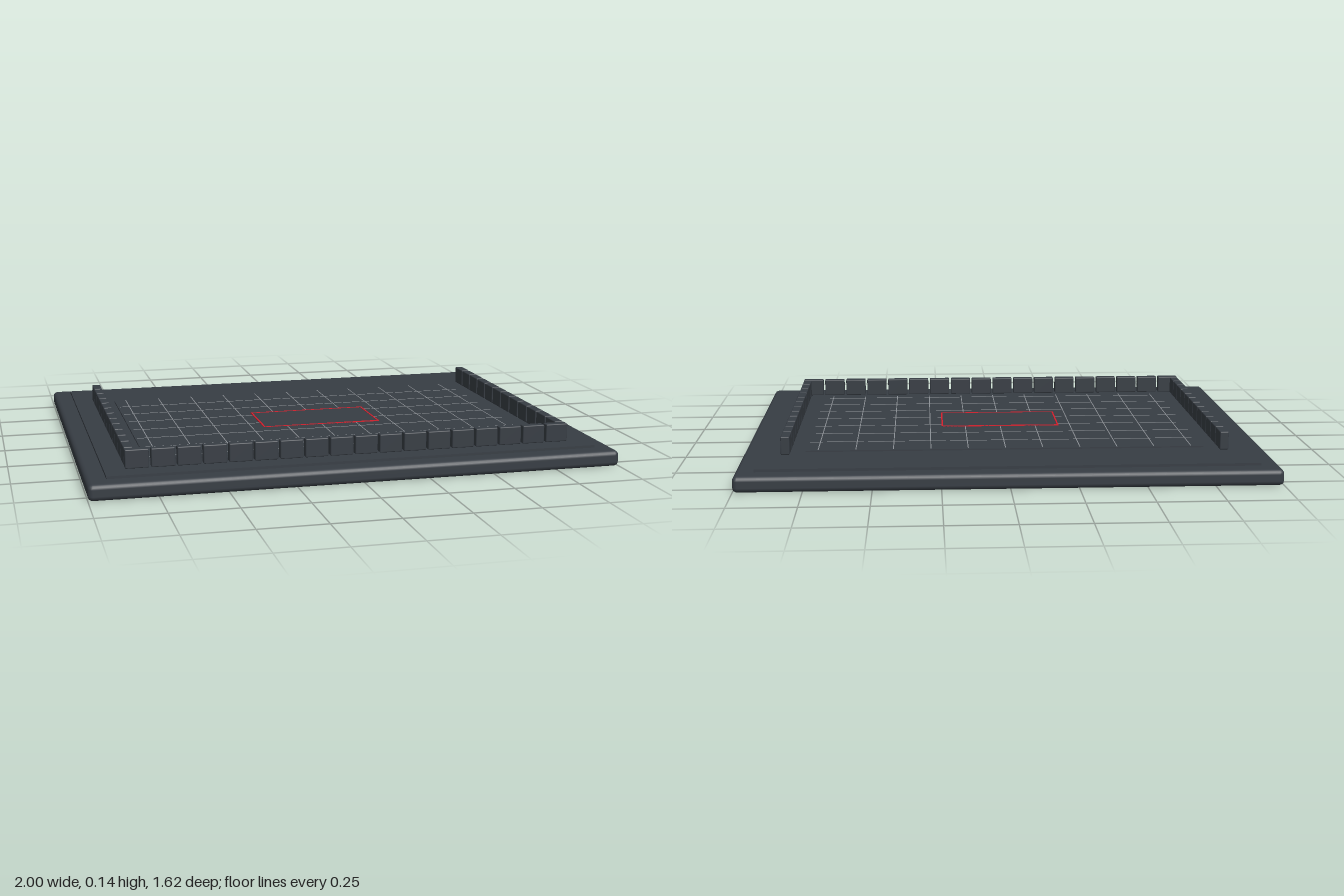
import * as THREE from 'three';
import { RoundedBoxGeometry } from 'three/addons/geometries/RoundedBoxGeometry.js';

export function createModel() {
  const model = new THREE.Group();
  model.name = 'walledGameBoard';

  const slate = new THREE.MeshStandardMaterial({ name: 'dark slate', color: 0x373d44 });
  const grey = new THREE.MeshStandardMaterial({ name: 'line grey', color: 0x8c9196 });
  const red = new THREE.MeshStandardMaterial({ name: 'marker red', color: 0xd81e2c });

  // Box given by its centre in x and z, its bottom and top heights, and an optional edge radius
  function slab(name, mat, x, z, w, d, y0, y1, radius = 0, parent = model) {
    const h = y1 - y0;
    const geo = radius ? new RoundedBoxGeometry(w, h, d, 2, radius) : new THREE.BoxGeometry(w, h, d);
    const mesh = new THREE.Mesh(geo, mat);
    mesh.name = name;
    mesh.position.set(x, (y0 + y1) / 2, z);
    parent.add(mesh);
    return mesh;
  }
  function part(name) {
    const g = new THREE.Group();
    g.name = name;
    model.add(g);
    return g;
  }

  // Stepped base
  slab('base', slate, 0, 0, 2, 1.62, 0, 0.06, 0.018);
  slab('raisedPlate', slate, 0, 0, 1.856, 1.476, 0.05, 0.07);

  // Playing field
  const zc = 0.043;
  slab('field', slate, 0, zc, 1.524, 1.046, 0.065, 0.0755);

  // Thin grid lines on the field
  const grid = part('gridLines');
  const pitch = 0.1428, line = 0.0035;
  for (let i = -5; i <= 5; i++) {
    slab('gridLineAcross', grey, i * pitch, zc, line, 1.026, 0.0745, 0.0765, 0, grid);
  }
  for (let i = 0; i < 7; i++) {
    slab('gridLineAlong', grey, 0, -0.339 + i * pitch, 1.508, line, 0.0745, 0.0765, 0, grid);
  }

  // Centre panel with its outline
  const pw = 0.478, pd = 0.262, edge = 0.006;
  slab('centrePanel', slate, 0, zc, pw, pd, 0.0745, 0.0775);
  const outline = part('centreOutline');
  for (const s of [-1, 1]) {
    slab('outlineLong', red, 0, zc + s * (pd - edge) / 2, pw, edge, 0.075, 0.079, 0, outline);
    slab('outlineShort', red, s * (pw - edge) / 2, zc, edge, pd - 2 * edge, 0.075, 0.079, 0, outline);
  }

  // Rows of upright blocks along the front and both sides
  const wall = part('blockWall');
  const step = 0.0951, len = 0.087, thick = 0.034, y0 = 0.07, y1 = 0.14;
  for (let i = 0; i < 18; i++) {
    slab('frontBlock', slate, (i - 8.5) * step, 0.638, len, thick, y0, y1, 0.004, wall);
  }
  for (const s of [-1, 1]) {
    for (let i = 0; i < 12; i++) {
      slab('sideBlock', slate, s * 0.834, -0.479 + i * step, thick, len, y0, y1, 0.004, wall);
    }
  }
  return model;
}
